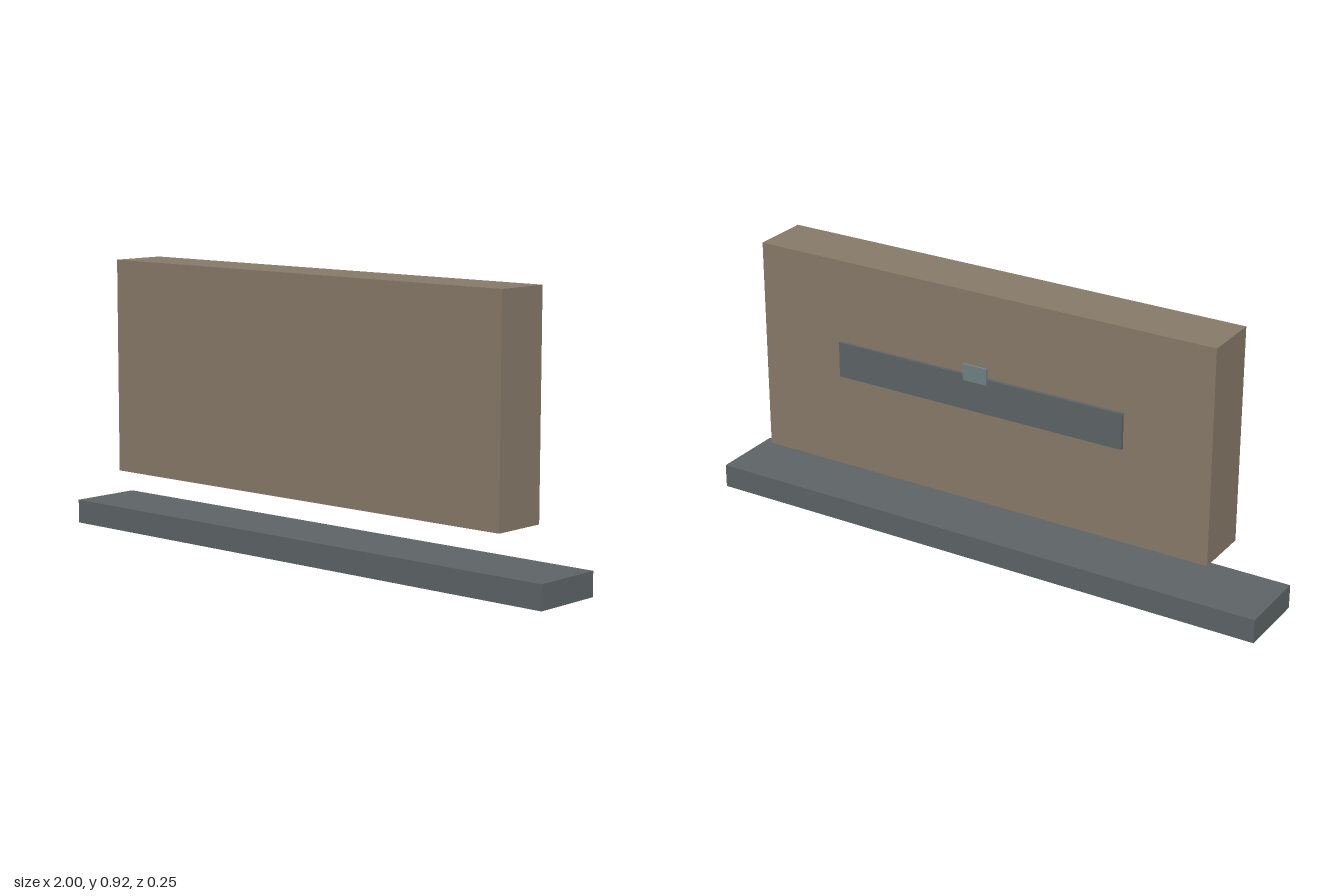
import * as THREE from 'three';

// Box given by its min and max corners
function box(name, [x0, y0, z0], [x1, y1, z1], material) {
  const mesh = new THREE.Mesh(new THREE.BoxGeometry(x1 - x0, y1 - y0, z1 - z0), material);
  mesh.position.set((x0 + x1) / 2, (y0 + y1) / 2, (z0 + z1) / 2);
  mesh.name = name;
  return mesh;
}

export function createModel() {
  const paint = (color) => new THREE.MeshStandardMaterial({ color });
  const slate = paint(0x5d6466);
  const tan = paint(0x867968);
  const paleSlate = paint(0x6f8184);

  const model = new THREE.Group();
  model.name = 'panelOnBase';
  model.add(
    // Long low plinth on the ground
    box('base', [-1, 0, -0.126], [1, 0.08, 0.126], slate),
    // Thick slab floating above the plinth
    box('panel', [-0.82, 0.2, -0.097], [0.82, 0.92, 0.097], tan),
    // Thin strip on the back of the slab, with a small tab on its upper edge
    box('backRail', [-0.52, 0.52, -0.108], [0.52, 0.64, -0.097], slate),
    box('railTab', [-0.043, 0.623, -0.115], [0.043, 0.678, -0.107], paleSlate),
  );
  return model;
}
